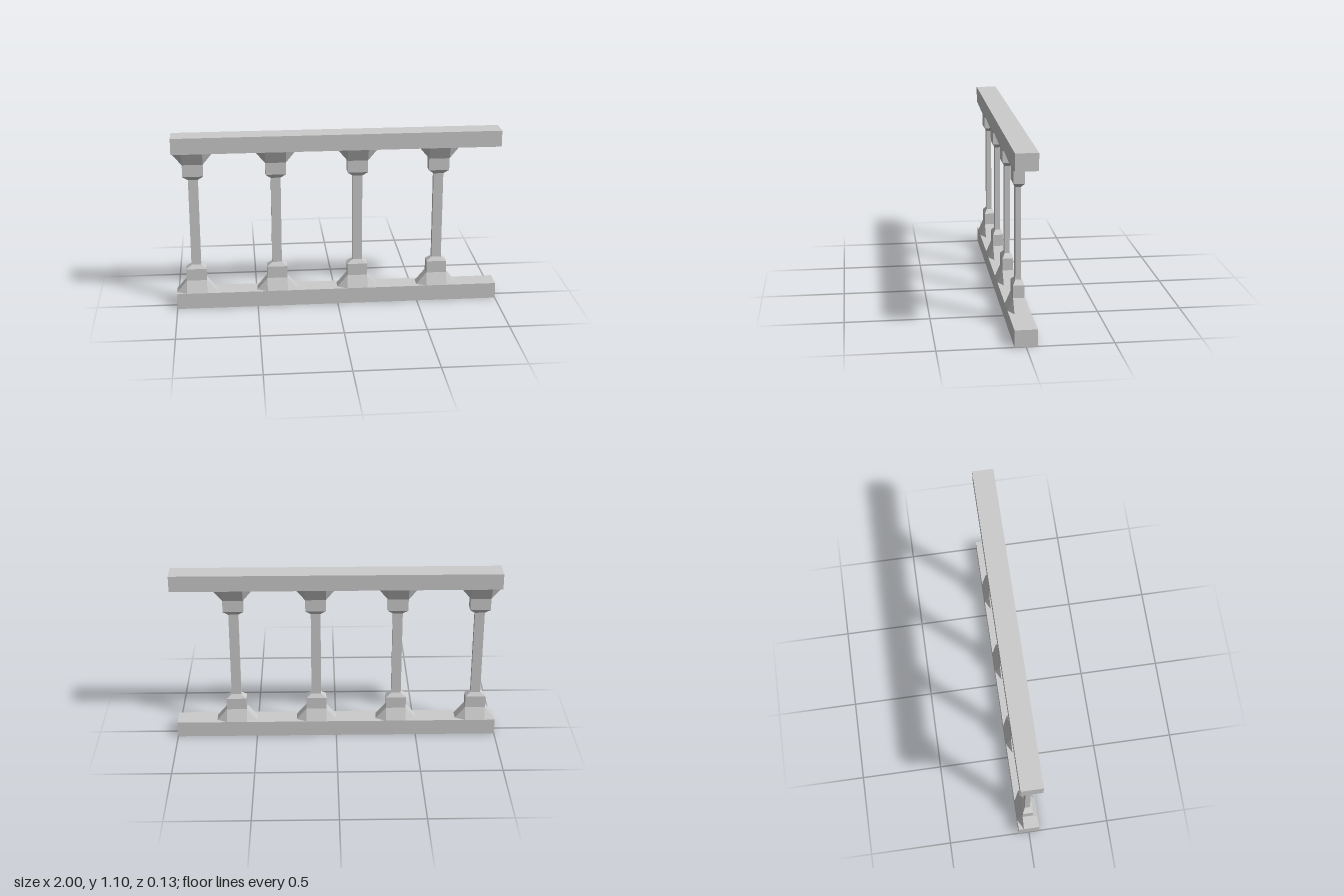
import * as THREE from 'three';
import { ConvexGeometry } from 'three/addons/geometries/ConvexGeometry.js';

const material = new THREE.MeshStandardMaterial({ color: 0xcccccc, flatShading: true });
const HEIGHT = 1.1, RAIL = 0.1, DEPTH = 0.13;
const BLOCK = [0.0625, 0.0325]; // half width, half depth
const POST = [0.03, 0.016];

function addMesh(parent, name, geometry) {
  const mesh = new THREE.Mesh(geometry, material);
  mesh.name = name;
  parent.add(mesh);
  return mesh;
}

function addBox(parent, name, width, depth, y0, y1) {
  const mesh = addMesh(parent, name, new THREE.BoxGeometry(width, y1 - y0, depth));
  mesh.position.y = (y0 + y1) / 2;
}

// Four corners of a rectangle at height y
function corners([hx, hz], y) {
  const points = [];
  for (const sx of [-1, 1]) {
    for (const sz of [-1, 1]) points.push(new THREE.Vector3(sx * hx, y, sz * hz));
  }
  return points;
}

// Flared foot, square block and taper; flipped for the upper end
function addEnd(parent, name, flip) {
  const at = (y) => (flip ? HEIGHT - y : y);
  const end = new THREE.Group();
  end.name = name;
  parent.add(end);
  // Each block face slopes outward; triangles close the corners
  addMesh(end, 'flare', new ConvexGeometry([
    ...corners([BLOCK[0] * 2, BLOCK[1]], at(0.1)),
    ...corners([BLOCK[0], BLOCK[1] * 2], at(0.1)),
    ...corners(BLOCK, at(0.175)),
  ]));
  const [y0, y1] = [at(0.175), at(0.25)].sort((a, b) => a - b);
  addBox(end, 'block', BLOCK[0] * 2, BLOCK[1] * 2, y0, y1);
  addMesh(end, 'taper', new ConvexGeometry([
    ...corners(BLOCK, at(0.25)),
    ...corners(POST, at(0.275)),
  ]));
}

export function createModel() {
  const model = new THREE.Group();
  model.name = 'railing';

  addBox(model, 'bottomRail', 2, DEPTH, 0, RAIL);
  addBox(model, 'topRail', 2, DEPTH, HEIGHT - RAIL, HEIGHT);

  // Balusters, evenly spaced from the right end
  for (let i = 0; i < 4; i++) {
    const baluster = new THREE.Group();
    baluster.name = 'baluster';
    baluster.position.x = -0.875 + i * 0.5;
    addBox(baluster, 'post', POST[0] * 2, POST[1] * 2, 0.275, HEIGHT - 0.275);
    addEnd(baluster, 'foot', false);
    addEnd(baluster, 'capital', true);
    model.add(baluster);
  }
  return model;
}
